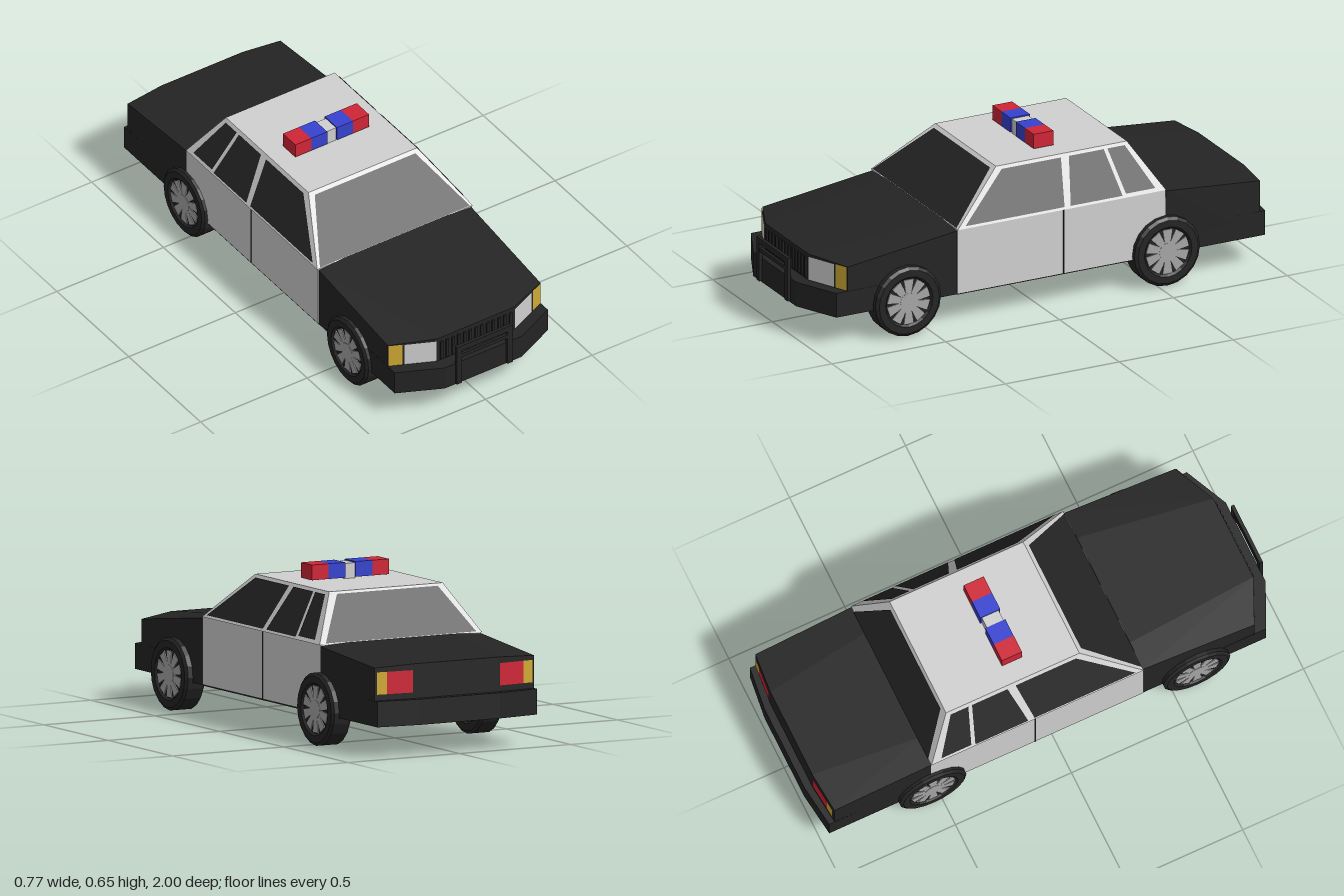
import * as THREE from 'three';
import { ConvexGeometry } from 'three/addons/geometries/ConvexGeometry.js';

const paint = (name, color) => {
  const m = new THREE.MeshStandardMaterial({ color, flatShading: true, side: THREE.DoubleSide });
  m.name = name;
  return m;
};

export function createModel() {
  const black = paint('black', 0x242424);
  const white = paint('white', 0xd0d0d0);
  const silver = paint('silver', 0xa6a6a6);
  const red = paint('red', 0xd02536);
  const blue = paint('blue', 0x3642d0);
  const amber = paint('amber', 0xd0aa34);

  const model = new THREE.Group();
  model.name = 'patrolCar';
  const body = new THREE.Group();
  body.name = 'body';
  body.position.x = -0.003;
  model.add(body);

  const add = (parent, name, geometry, material) => {
    const mesh = new THREE.Mesh(geometry, material);
    mesh.name = name;
    parent.add(mesh);
    return mesh;
  };
  const box = (name, w, h, d, x, y, z, material) =>
    add(body, name, new THREE.BoxGeometry(w, h, d), material).position.set(x, y, z);

  // Convex solid from corners of the left half, mirrored to the right
  const hull = (name, half, material) => {
    const pts = half.flatMap(([x, y, z]) => [new THREE.Vector3(x, y, z), new THREE.Vector3(-x, y, z)]);
    return add(body, name, new ConvexGeometry(pts), material);
  };

  // Flat convex panel from its outline
  const panel = (name, pts, material) => {
    const g = new THREE.BufferGeometry();
    const fan = [];
    for (let i = 1; i < pts.length - 1; i++) fan.push(...pts[0], ...pts[i], ...pts[i + 1]);
    g.setAttribute('position', new THREE.Float32BufferAttribute(fan, 3));
    g.computeVertexNormals();
    return add(body, name, g, material);
  };

  // Nose with raised hood centre, and tail
  hull('frontBody', [
    [0.358, 0.125, 0.375], [0.358, 0.39, 0.375], [0.24, 0.4, 0.375],
    [0.358, 0.125, 0.855], [0.358, 0.327, 0.855], [0.18, 0.125, 0.935], [0.18, 0.335, 0.935],
  ], black);
  hull('rearBody', [
    [0.358, 0.125, -0.54], [0.362, 0.39, -0.54], [0.24, 0.397, -0.54],
    [0.358, 0.125, -0.955], [0.358, 0.355, -0.955], [0.19, 0.125, -0.97], [0.19, 0.362, -0.97],
  ], black);

  // Bumpers, following the angled corners
  const bumper = (name, zIn, zCorner, zEnd) => hull(name, [0.125, 0.226].flatMap((y) => [
    [0.359, y, zIn], [0.359, y, zCorner], [0.18, y, zEnd],
  ]), black);
  bumper('frontBumper', 0.6, 0.905, 0.988);
  bumper('rearBumper', -0.6, -0.978, -1);

  // Doors section, floor and cabin
  box('doors', 0.722, 0.268, 0.915, 0, 0.262, -0.0825, white);
  box('floor', 0.716, 0.006, 0.915, 0, 0.126, -0.0825, black);
  const base = { x: 0.365, y: 0.395, front: 0.375, rear: -0.54 };
  const roof = { x: 0.255, y: 0.583, front: 0.15, rear: -0.425 };
  hull('cabin', [
    [base.x, base.y, base.front], [base.x, base.y, base.rear],
    [roof.x, roof.y, roof.front], [roof.x, roof.y, roof.rear],
  ], white);

  // Glass, laid on the sloping cabin faces
  const slope = (key, y) => base[key] + (roof[key] - base[key]) * (y - base.y) / (roof.y - base.y);
  const outline = [[-0.352, 0.4], [0.352, 0.4], [0.236, 0.574], [-0.236, 0.574]];
  panel('windshield', outline.map(([x, y]) => [x, y, slope('front', y) + 0.005]), black);
  panel('rearWindow', outline.map(([x, y]) => [x * 0.96, y, slope('rear', y) - 0.005]), black);
  const sideWindows = {
    FrontWindow: [[0.34, 0.405], [0.13, 0.572], [-0.13, 0.572], [-0.095, 0.405]],
    RearWindow: [[-0.122, 0.405], [-0.165, 0.572], [-0.318, 0.572], [-0.35, 0.405]],
    QuarterWindow: [[-0.366, 0.41], [-0.334, 0.572], [-0.41, 0.572], [-0.495, 0.41]],
  };

  for (const [side, s] of [['left', 1], ['right', -1]]) {
    for (const [name, pts] of Object.entries(sideWindows))
      panel(side + name, pts.map(([z, y]) => [s * (slope('x', y) + 0.004), y, z]), black);
    box(side + 'DoorGap', 0.004, 0.268, 0.005, s * 0.361, 0.262, -0.092, black);

    // Lamps on the angled corners
    const frontZ = (x) => 0.938 - (x - 0.18) / 0.178 * 0.08;
    const rearZ = (x) => -0.973 + (x - 0.19) / 0.168 * 0.015;
    const lamp = (name, x0, x1, y0, y1, zAt, material) => panel(side + name,
      [[x0, y0], [x1, y0], [x1, y1], [x0, y1]].map(([x, y]) => [s * x, y, zAt(x)]), material);
    lamp('Headlight', 0.184, 0.3, 0.228, 0.324, frontZ, white);
    lamp('FrontIndicator', 0.306, 0.357, 0.228, 0.326, frontZ, amber);
    lamp('TailLight', 0.195, 0.307, 0.25, 0.338, rearZ, red);
    lamp('RearIndicator', 0.307, 0.35, 0.25, 0.338, rearZ, amber);

    // Push bar uprights
    box(side + 'PushBarUpright', 0.024, 0.18, 0.014, s * 0.119, 0.22, 0.993, black);
  }
  box('pushBarTop', 0.262, 0.024, 0.014, 0, 0.299, 0.993, black);
  box('pushBarMiddle', 0.22, 0.016, 0.012, 0, 0.262, 0.992, black);

  // Grille slats
  for (let i = -6; i <= 6; i++)
    box('grilleSlat', 0.012, 0.084, 0.01, i * 0.027, 0.275, 0.937, black);

  // Roof light bar
  box('lightBarCentre', 0.046, 0.062, 0.072, -0.002, 0.612, -0.103, white);
  for (const s of [-1, 1]) {
    box('blueBeacon', 0.075, 0.06, 0.086, -0.002 + s * 0.0605, 0.618, -0.103, blue);
    box('redBeacon', 0.075, 0.06, 0.086, -0.002 + s * 0.1355, 0.618, -0.103, red);
  }

  // Wheels: tyre with a shallow dish, light spokes and cap
  const tyreProfile = [
    [0, -0.036], [0.096, -0.036], [0.104, -0.045], [0.132, -0.045], [0.144, -0.036],
    [0.144, 0.036], [0.132, 0.045], [0.104, 0.045], [0.096, 0.036], [0, 0.036],
  ].map(([r, h]) => new THREE.Vector2(r, h));
  const tyre = new THREE.LatheGeometry(tyreProfile, 20).rotateZ(-Math.PI / 2);
  const spokeShape = new THREE.Shape([[-0.009, 0.015], [0.009, 0.015], [0.021, 0.092], [-0.021, 0.092]]
    .map(([x, y]) => new THREE.Vector2(x, y)));
  const spoke = new THREE.ExtrudeGeometry(spokeShape, { depth: 0.004, bevelEnabled: false }).rotateY(Math.PI / 2);
  const cap = new THREE.CylinderGeometry(0.036, 0.036, 0.006, 16).rotateZ(-Math.PI / 2);
  const inner = new THREE.CylinderGeometry(0.094, 0.094, 0.004, 20).rotateZ(-Math.PI / 2);

  for (const [end, z] of [['front', 0.6], ['rear', -0.537]])
    for (const [side, s] of [['Left', 1], ['Right', -1]]) {
      const wheel = new THREE.Group();
      wheel.name = end + side + 'Wheel';
      wheel.position.set(s * 0.34, 0.144, z);
      if (s < 0) wheel.rotation.y = Math.PI;
      add(wheel, 'tyre', tyre, black);
      add(wheel, 'hubCap', cap, silver).position.x = 0.038;
      add(wheel, 'innerRim', inner, silver).position.x = -0.038;
      for (let i = 0; i < 10; i++) {
        const arm = add(wheel, 'spoke', spoke, silver);
        arm.position.x = 0.036;
        arm.rotation.x = (i / 10) * Math.PI * 2;
      }
      model.add(wheel);
    }

  return model;
}
